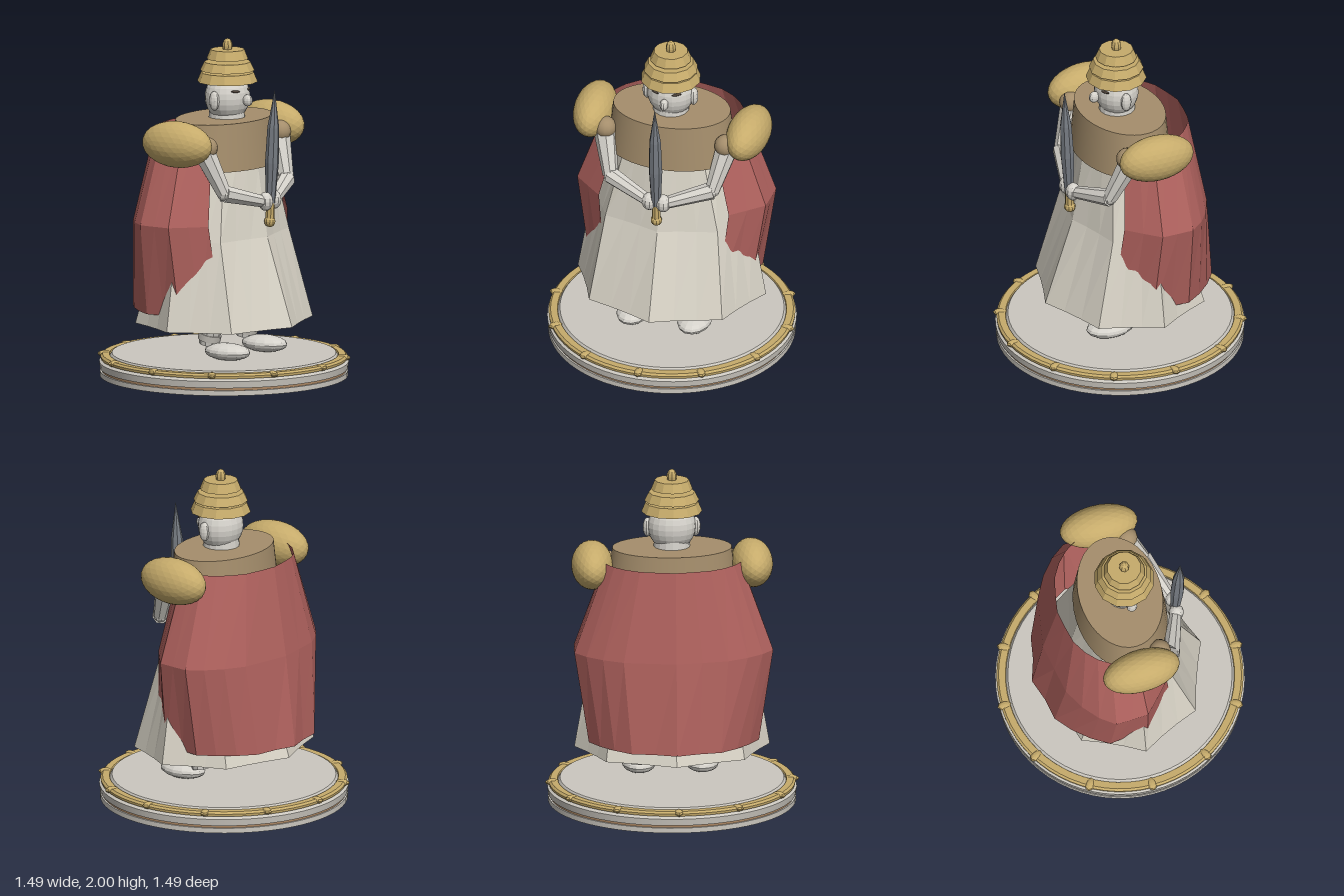
import * as THREE from 'three';

const V = (x, y, z) => new THREE.Vector3(x, y, z);
const mat = (name, color, opts = {}) => {
  const m = new THREE.MeshStandardMaterial({ color, ...opts });
  m.name = name;
  return m;
};

export function createModel() {
  const group = new THREE.Group();
  const flat = { flatShading: true };
  const ivory = mat('ivory', 0xd9d4c7, { ...flat, side: THREE.DoubleSide });
  const skin = mat('paleSkin', 0xd5d2cb, flat);
  const stone = mat('stone', 0xcbc7bf);
  const red = mat('red', 0xb0625e, { ...flat, side: THREE.DoubleSide });
  const gold = mat('gold', 0xc6ab6b, flat);
  const tan = mat('tan', 0xa58e6c);
  const steel = mat('steel', 0x777c83, flat);
  const dark = mat('dark', 0x4d4239);
  const bronze = mat('bronze', 0xa98562);

  const add = (name, geo, material, x = 0, y = 0, z = 0) => {
    const m = new THREE.Mesh(geo, material);
    m.name = name;
    m.position.set(x, y, z);
    group.add(m);
    return m;
  };
  const ball = (name, material, p, r, ws = 14, hs = 10) =>
    add(name, new THREE.SphereGeometry(1, ws, hs).scale(...r), material, ...p);
  // tapered limb between two points
  const limb = (name, material, a, b, ra, rb, sides = 8) => {
    const m = add(name, new THREE.CylinderGeometry(rb, ra, a.distanceTo(b), sides), material);
    m.position.copy(a).add(b).multiplyScalar(0.5);
    m.quaternion.setFromUnitVectors(V(0, 1, 0), b.clone().sub(a).normalize());
    return m;
  };
  // cloth sheet lofted through elliptical rows [y, rx, rz, zCentre, fold]
  const cloth = (rows, segs, from, to, folds) => {
    const pos = [], idx = [];
    rows.forEach(([y, rx, rz, zc, fold], j) => {
      for (let i = 0; i <= segs; i++) {
        const a = from + (to - from) * i / segs;
        const k = 1 + fold * Math.cos(folds * a);
        pos.push(Math.sin(a) * rx * k, y, zc + Math.cos(a) * rz * k);
        if (j && i) {
          const d = j * (segs + 1) + i, u = d - segs - 1;
          idx.push(u - 1, d - 1, u, d - 1, d, u);
        }
      }
    });
    const g = new THREE.BufferGeometry();
    g.setAttribute('position', new THREE.Float32BufferAttribute(pos, 3));
    g.setIndex(idx);
    g.computeVertexNormals();
    return g;
  };

  // round stand
  const disc = (name, m, rb, rt, y0, y1) =>
    add(name, new THREE.CylinderGeometry(rt, rb, y1 - y0, 64), m, 0, (y0 + y1) / 2, 0);
  disc('baseFoot', stone, 0.725, 0.725, 0, 0.03);
  disc('baseBand', bronze, 0.715, 0.715, 0.03, 0.045);
  disc('baseDrum', stone, 0.725, 0.73, 0.045, 0.085);
  disc('baseStep', stone, 0.73, 0.705, 0.085, 0.1);
  disc('baseTop', stone, 0.68, 0.655, 0.1, 0.135);
  add('baseGoldRing', new THREE.LatheGeometry(
    [[0.66, 0.1], [0.72, 0.1], [0.722, 0.115], [0.71, 0.127], [0.67, 0.127], [0.66, 0.1]]
      .map(p => new THREE.Vector2(...p)), 64), gold);
  for (let i = 0; i < 12; i++) {
    const a = i * Math.PI / 6;
    const stud = ball('baseStud', gold, [Math.sin(a) * 0.7, 0.115, Math.cos(a) * 0.7], [0.028, 0.02, 0.043], 8, 6);
    stud.rotation.y = a;
  }

  // pleated robe
  add('robe', cloth([
    [1.5, 0.3, 0.2, 0, 0], [1.25, 0.345, 0.24, 0, 0.03],
    [0.85, 0.455, 0.295, 0, 0.06], [0.33, 0.54, 0.463, 0, 0.06],
  ], 24, 0, Math.PI * 2, 8), ivory);

  // oval shoulder mantle
  add('mantle', new THREE.CylinderGeometry(1, 1.1, 0.28, 40).scale(0.35, 1, 0.243), tan, 0, 1.395, 0);

  // open cloak around the back and sides
  add('cloak', cloth([
    [1.48, 0.40, 0.275, -0.1, 0.015], [0.95, 0.59, 0.36, -0.1, 0.02], [0.41, 0.5, 0.42, -0.1, 0.035],
  ], 18, Math.PI * 0.23, Math.PI * 1.77, 10), red);

  // head
  ball('head', skin, [0, 1.655, 0.025], [0.142, 0.145, 0.128], 20, 14);
  add('neck', new THREE.CylinderGeometry(0.1, 0.11, 0.12, 16), skin, 0, 1.56, 0.02);
  ball('nose', skin, [0, 1.645, 0.17], [0.025, 0.035, 0.033], 10, 8);

  // tiered helmet
  [[1.745, 1.8, 0.178, 0.155], [1.812, 1.862, 0.16, 0.135], [1.88, 1.935, 0.122, 0.1]].forEach(([y0, y1, rb, rt]) =>
    add('helmetTier', new THREE.CylinderGeometry(rt, rb, y1 - y0, 12), gold, 0, (y0 + y1) / 2, 0.025));
  ball('helmetFinial', gold, [0, 1.955, 0.025], [0.03, 0.045, 0.03], 8, 8);

  for (const s of [1, -1]) {
    ball('ear', skin, [s * 0.142, 1.648, 0.033], [0.027, 0.058, 0.032], 10, 8);
    const eye = ball('eye', dark, [s * 0.066, 1.702, 0.131], [0.03, 0.008, 0.008], 8, 6);
    eye.rotation.set(0, s * 0.45, s * 0.08);

    // shoulder guard and arm
    const guard = add('shoulderGuard', new THREE.IcosahedronGeometry(1, 4).scale(0.122, 0.137, 0.232), gold, s * 0.468, 1.432, 0);
    guard.rotation.y = s * -0.04;
    ball('shoulder', tan, [s * 0.365, 1.41, 0.14], [0.065, 0.065, 0.065], 14, 10);
    const elbow = V(s * 0.31, 1.14, 0.225), wrist = V(s * 0.06, 1.07, 0.32);
    limb('upperArm', skin, V(s * 0.375, 1.4, 0.12), elbow, 0.07, 0.045);
    ball('elbow', skin, elbow.toArray(), [0.043, 0.043, 0.043], 8, 6);
    limb('forearm', skin, elbow, wrist, 0.053, 0.037);
    ball('hand', skin, [s * 0.042, 1.068, 0.33], [0.046, 0.055, 0.045], 10, 8);

    // leg and foot
    limb('shin', skin, V(s * 0.185, 0.21, 0.02), V(s * 0.185, 0.34, 0.045), 0.055, 0.07, 10);
    limb('thigh', skin, V(s * 0.185, 0.34, 0.045), V(s * 0.185, 0.6, 0.02), 0.07, 0.075, 10);
    limb('ankleStrap', stone, V(s * 0.185, 0.235, 0.025), V(s * 0.185, 0.275, 0.035), 0.066, 0.068, 10);
    ball('foot', skin, [s * 0.185, 0.18, 0.158], [0.1, 0.05, 0.15], 14, 10);
  }

  // upright sword held before the chest
  const sword = new THREE.Group();
  sword.name = 'sword';
  const part = (name, geo, m, y) => {
    const mesh = new THREE.Mesh(geo, m);
    mesh.name = name;
    mesh.position.y = y;
    sword.add(mesh);
  };
  part('blade', new THREE.LatheGeometry(
    [[0.001, 0], [0.028, 0.01], [0.041, 0.25], [0.035, 0.46], [0.001, 0.68]]
      .map(p => new THREE.Vector2(...p)), 8), steel, 0.1);
  part('grip', new THREE.CylinderGeometry(0.024, 0.028, 0.13, 8), gold, 0.05);
  part('pommel', new THREE.SphereGeometry(0.034, 10, 8), gold, 0);
  sword.position.set(0, 0.945, 0.33);
  sword.rotation.x = 0.045;
  group.add(sword);

  return group;
}
